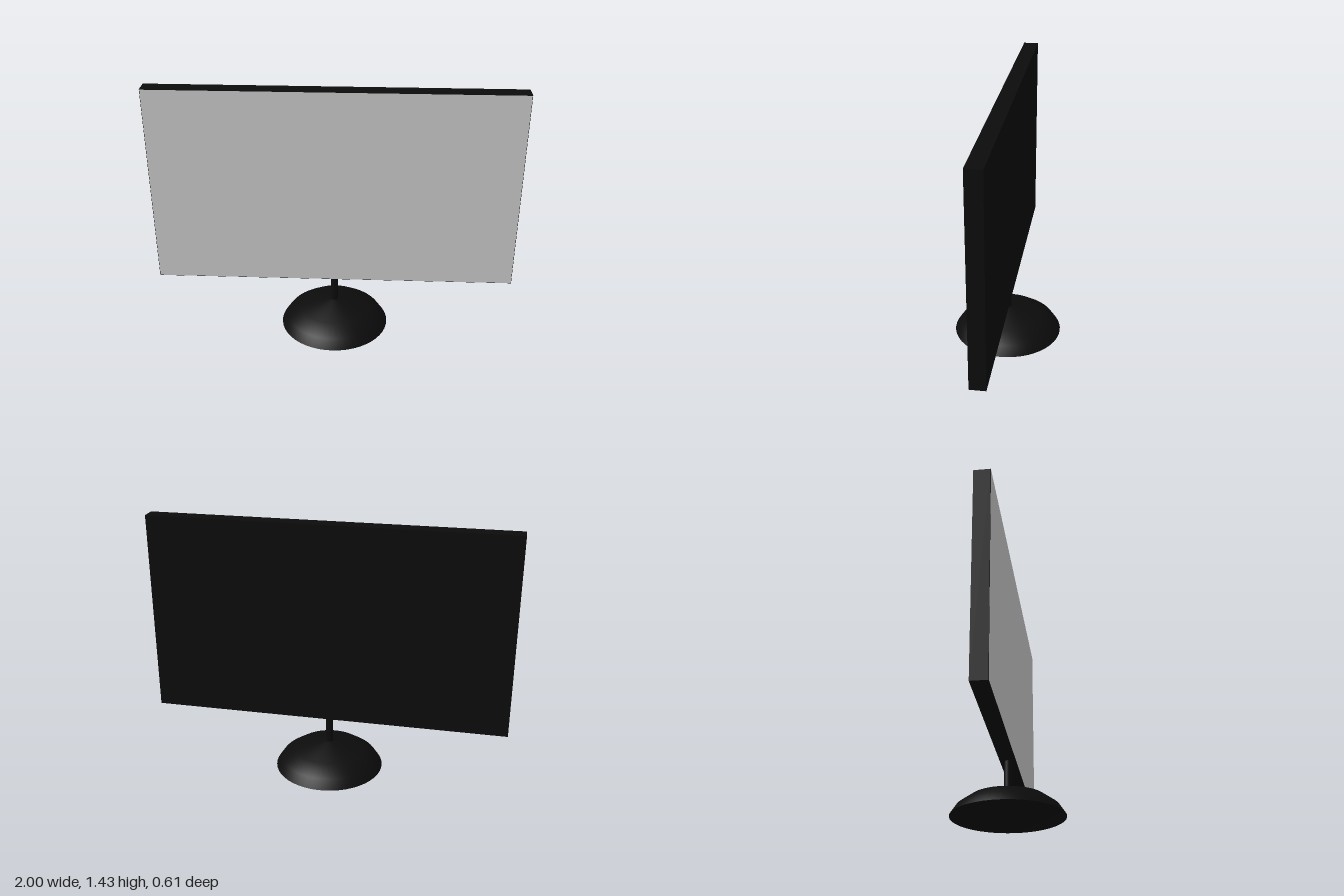
import * as THREE from 'three';

export function createModel() {
  const model = new THREE.Group();
  const black = new THREE.MeshStandardMaterial({ color: 0x0c0c0c });
  const blackShell = new THREE.MeshStandardMaterial({ color: 0x0c0c0c, side: THREE.DoubleSide });
  const grey = new THREE.MeshStandardMaterial({ color: 0xcccccc });

  const add = (name, geometry, material, y, z = 0) => {
    const mesh = new THREE.Mesh(geometry, material);
    mesh.name = name;
    mesh.position.set(0, y, z);
    model.add(mesh);
    return mesh;
  };

  const bottom = 0.305, top = 1.43, depth = 0.085;
  const height = top - bottom, middle = (top + bottom) / 2;

  // Flat panel with the display covering its front
  add('housing', new THREE.BoxGeometry(2, height, depth), black, middle);
  add('screen', new THREE.PlaneGeometry(1.996, height - 0.004), grey, middle, depth / 2 + 0.001);

  // Stand: thin round neck on a hollow dome, open underneath
  add('neck', new THREE.CylinderGeometry(0.021, 0.021, 0.17, 24), black, 0.228);
  const profile = [[0.305, 0], [0.27, 0.052], [0.197, 0.104], [0.02, 0.148], [0, 0.15]];
  add('base', new THREE.LatheGeometry(profile.map(([r, y]) => new THREE.Vector2(r, y)), 48), blackShell, 0);

  return model;
}
